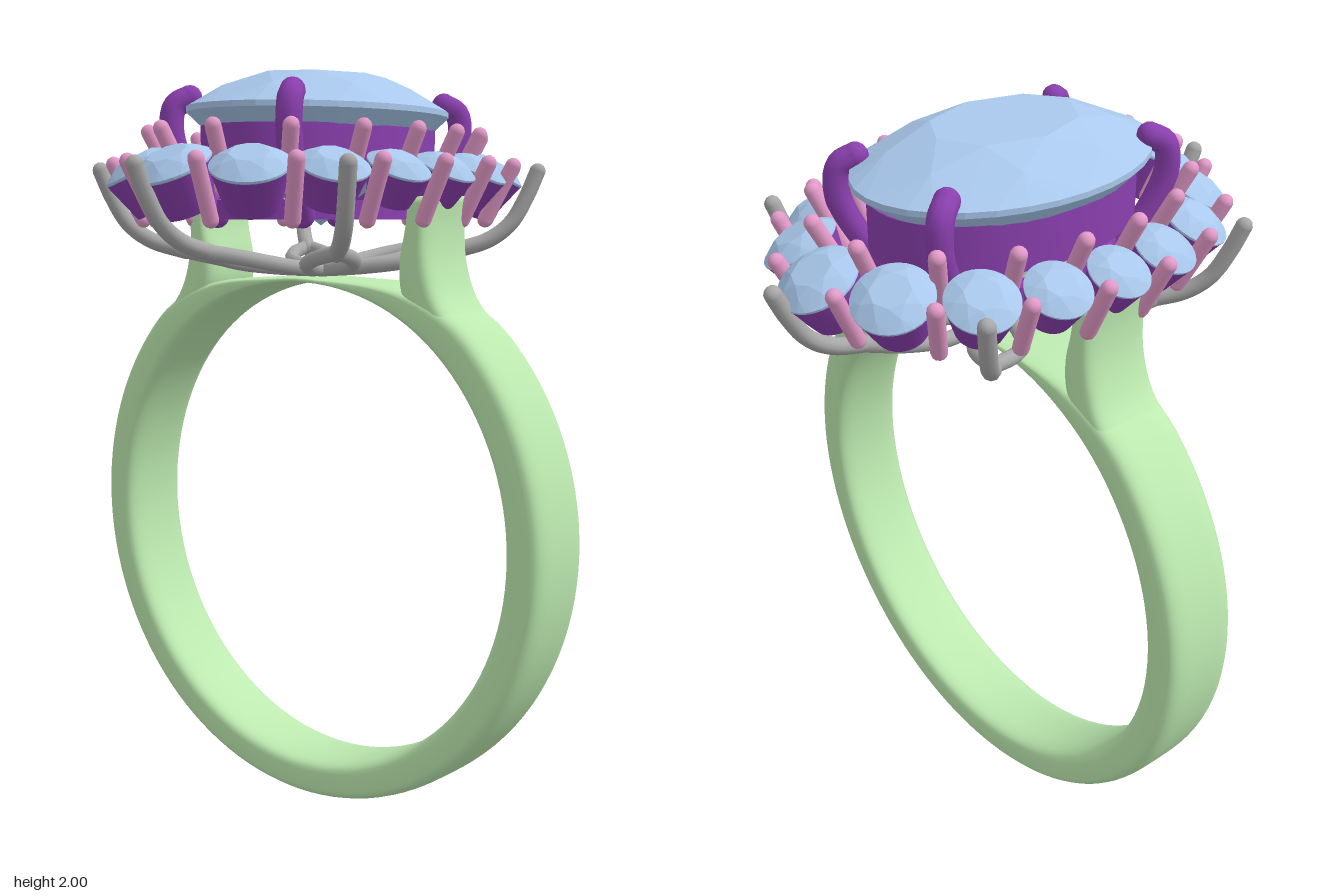
import * as THREE from 'three';
import { mergeGeometries, mergeVertices, toCreasedNormals } from 'three/addons/utils/BufferGeometryUtils.js';
import { ConvexGeometry } from 'three/addons/geometries/ConvexGeometry.js';

const V = (x, y, z) => new THREE.Vector3(x, y, z);
const UP = V(0, 1, 0);
const mat = (color) => new THREE.MeshStandardMaterial({ color });
const green = mat(0xbdeab0), blue = mat(0xa9c8ec), purple = mat(0x8a3fae), pink = mat(0xe39ac8), grey = mat(0xcccccc);
grey.color.set(0xa8a8a8);

function add(parent, name, geometry, material) {
  const mesh = new THREE.Mesh(geometry, material);
  mesh.name = name;
  parent.add(mesh);
  return mesh;
}

// Loft of rounded-rectangle sections; station = [innerX, innerY, outerX, outerY, halfWidth]
function loft(stations, sides = 32) {
  const pos = [], index = [];
  const soft = (v) => Math.sign(v) * Math.pow(Math.abs(v), 0.5);
  stations.forEach(([ix, iy, ox, oy, w], i) => {
    for (let j = 0; j < sides; j++) {
      const f = (j / sides) * Math.PI * 2, c = soft(Math.cos(f)), s = soft(Math.sin(f));
      pos.push((ix + ox) / 2 + ((ox - ix) / 2) * c, (iy + oy) / 2 + ((oy - iy) / 2) * c, w * s);
      if (i === stations.length - 1) continue;
      const k = (j + 1) % sides, a = i * sides, b = a + sides;
      index.push(a + j, b + j, a + k, b + j, b + k, a + k);
    }
  });
  let g = new THREE.BufferGeometry();
  g.setAttribute('position', new THREE.Float32BufferAttribute(pos, 3));
  g.setIndex(index);
  g = mergeVertices(g, 1e-5);
  g.computeVertexNormals();
  return g;
}

// Round wire along a curve with ball ends
function wire(points, r, segments = 32) {
  const curve = new THREE.CatmullRomCurve3(points);
  const ends = [points[0], points[points.length - 1]].map((p) => new THREE.SphereGeometry(r, 12, 8).translate(p.x, p.y, p.z));
  return mergeGeometries([new THREE.TubeGeometry(curve, segments, r, 10), ...ends]);
}

// Brilliant-cut stone of radius 1, girdle at y = 0
function gemGeometry() {
  const pts = [V(0, -1, 0)];
  const ring = (n, r, y, shift = 0) => {
    for (let i = 0; i < n; i++) {
      const a = ((i + shift) / n) * Math.PI * 2;
      pts.push(V(Math.cos(a) * r, y, Math.sin(a) * r));
    }
  };
  ring(8, 0.5, 0.32);
  ring(8, 0.76, 0.195, 0.5);
  ring(32, 1, 0.02);
  ring(32, 1, -0.03);
  ring(8, 0.55, -0.55, 0.5);
  return new ConvexGeometry(pts);
}

// Closed ring profile revolved with crisp edges
function collar(profile, segments) {
  const pts = [...profile, profile[0]].map(([x, y]) => new THREE.Vector2(x, y));
  return toCreasedNormals(new THREE.LatheGeometry(pts, segments), 0.6);
}

function makeBand(group) {
  // Hoop, thinning to a narrow bridge at the top
  const stations = [];
  for (let i = 0; i <= 120; i++) {
    const a = -Math.PI / 2 + (i / 120) * Math.PI * 2;
    const fromTop = Math.abs(i / 60 - 1) * 180;
    const outer = 0.685 + 0.1 * THREE.MathUtils.smoothstep(fromTop, 4, 46);
    const c = Math.cos(a), s = Math.sin(a), lift = 0.01 * (1 - s) / 2;
    stations.push([c * 0.67, 0.782 + s * 0.67, c * outer, 0.782 + lift + s * (outer + 0.003 * (1 - s) / 2), 0.11]);
  }
  add(group, 'band', loft(stations), green);

  // Shoulders rising to the halo
  const inner = new THREE.CatmullRomCurve3([V(0.5, 1.23, 0), V(0.4, 1.33, 0), V(0.335, 1.43, 0), V(0.328, 1.51, 0), V(0.348, 1.6, 0), V(0.355, 1.67, 0)]);
  const outer = new THREE.CatmullRomCurve3([V(0.63, 1.25, 0), V(0.555, 1.325, 0), V(0.468, 1.415, 0), V(0.43, 1.51, 0), V(0.42, 1.6, 0), V(0.425, 1.68, 0)]);
  const rise = [];
  for (let i = 0; i <= 24; i++) {
    const p = inner.getPoint(i / 24), q = outer.getPoint(i / 24);
    rise.push([p.x, p.y, q.x, q.y, 0.108 - 0.008 * (i / 24)]);
  }
  rise.push([0.39, 1.675, 0.39, 1.675, 0]);
  const geo = loft(rise);
  add(group, 'leftShoulder', geo, green);
  add(group, 'rightShoulder', geo, green).rotation.y = Math.PI;
}

function makeCentre(group, gem) {
  const stone = add(group, 'centreStone', gem, blue);
  stone.scale.set(0.3, 0.3, 0.415);
  stone.position.y = 1.904;

  // Oval gallery wall and lower rail
  const wall = add(group, 'galleryWall', collar([[1, 1.73], [1, 1.86], [0.86, 1.86], [0.86, 1.73]], 64), purple);
  wall.scale.set(0.265, 1, 0.375);
  const rail = add(group, 'galleryRail', collar([[1, 1.62], [1, 1.67], [0.8, 1.67], [0.8, 1.62]], 64), purple);
  rail.scale.set(0.23, 1, 0.33);

  // Four claws hooked over the stone
  for (const sx of [1, -1]) for (const sz of [1, -1]) {
    const path = [[0.15, 1.63, 0.25], [0.185, 1.74, 0.325], [0.203, 1.84, 0.36], [0.2, 1.91, 0.352], [0.178, 1.933, 0.318]];
    add(group, 'centreClaw', wire(path.map(([x, y, z]) => V(x * sx, y, z * sz)), 0.033), purple);
  }
}

function makeHalo(group, gem) {
  const tilt = 0.48, y = 1.75;
  const quarter = [[0, 0.56, 0.104], [0.19, 0.485, 0.1], [0.33, 0.34, 0.09], [0.395, 0.17, 0.083], [0.415, 0, 0.08]];
  const cup = collar([[0.68, -1.12], [0.98, -0.06], [0.86, -0.06], [0.36, -1.12]], 28);
  const prong = new THREE.CapsuleGeometry(0.021, 0.16, 4, 12);

  // Seat frame leaning outward along the oval's normal
  const seat = (x, z) => {
    const out = V(x / 0.172, 0, z / 0.314).normalize();
    const axis = out.clone().multiplyScalar(Math.sin(tilt)).addScaledVector(UP, Math.cos(tilt));
    const slope = out.clone().multiplyScalar(Math.cos(tilt)).addScaledVector(UP, -Math.sin(tilt));
    return { axis, slope, turn: new THREE.Quaternion().setFromUnitVectors(UP, axis) };
  };

  for (const sx of [1, -1]) for (const sz of [1, -1]) {
    quarter.forEach(([qx, qz, r], i) => {
      const x = qx * sx, z = qz * sz;
      // Stone in its cup; those on an axis are placed once
      if (!(qx === 0 && sx < 0) && !(qz === 0 && sz < 0)) {
        const setting = new THREE.Group();
        setting.name = 'haloSetting';
        setting.position.set(x, y, z);
        setting.quaternion.copy(seat(x, z).turn);
        setting.scale.setScalar(r);
        add(setting, 'haloStone', gem, blue);
        add(setting, 'haloCup', cup, purple);
        group.add(setting);
      }
      // Inner and outer prong in the gap to the next stone
      const next = quarter[i + 1];
      if (!next) return;
      const mid = V((x + next[0] * sx) / 2, y, (z + next[1] * sz) / 2);
      const { axis, slope, turn } = seat(mid.x, mid.z);
      for (const [name, across, along] of [['innerProng', -0.058, -0.005], ['outerProng', 0.062, -0.035]]) {
        const rod = add(group, name, prong, pink);
        rod.position.copy(mid).addScaledVector(slope, across).addScaledVector(axis, along);
        rod.quaternion.copy(turn);
      }
    });
  }
}

function makeBasket(group) {
  // Six wire arms, each splitting into a leaf loop near the middle
  const ends = [[0, 0.68], [0.43, 0.41], [0.43, -0.41], [0, -0.68], [-0.43, -0.41], [-0.43, 0.41]];
  for (const [ex, ez] of ends) {
    const length = Math.hypot(ex, ez), side = V(ez / length, 0, -ex / length);
    const at = (s, y, across = 0) => V(ex * s, y, ez * s).addScaledVector(side, across);
    const arm = new THREE.Group();
    arm.name = 'basketArm';
    add(arm, 'stem', wire([at(0.62, 1.535), at(0.78, 1.565), at(0.88, 1.61), at(0.95, 1.68), at(1, 1.75)], 0.022), grey);
    for (const m of [1, -1]) {
      add(arm, 'leafWire', wire([at(0.66, 1.54), at(0.52, 1.523, 0.045 * m), at(0.36, 1.505, 0.06 * m), at(0.18, 1.492, 0.035 * m), at(0.02, 1.485)], 0.02), grey);
    }
    group.add(arm);
  }
}

export function createModel() {
  const model = new THREE.Group();
  model.name = 'haloRing';
  const gem = gemGeometry();
  for (const [name, build] of [['shank', makeBand], ['centreSetting', makeCentre], ['halo', makeHalo], ['basket', makeBasket]]) {
    const part = new THREE.Group();
    part.name = name;
    build(part, gem);
    model.add(part);
  }
  return model;
}
